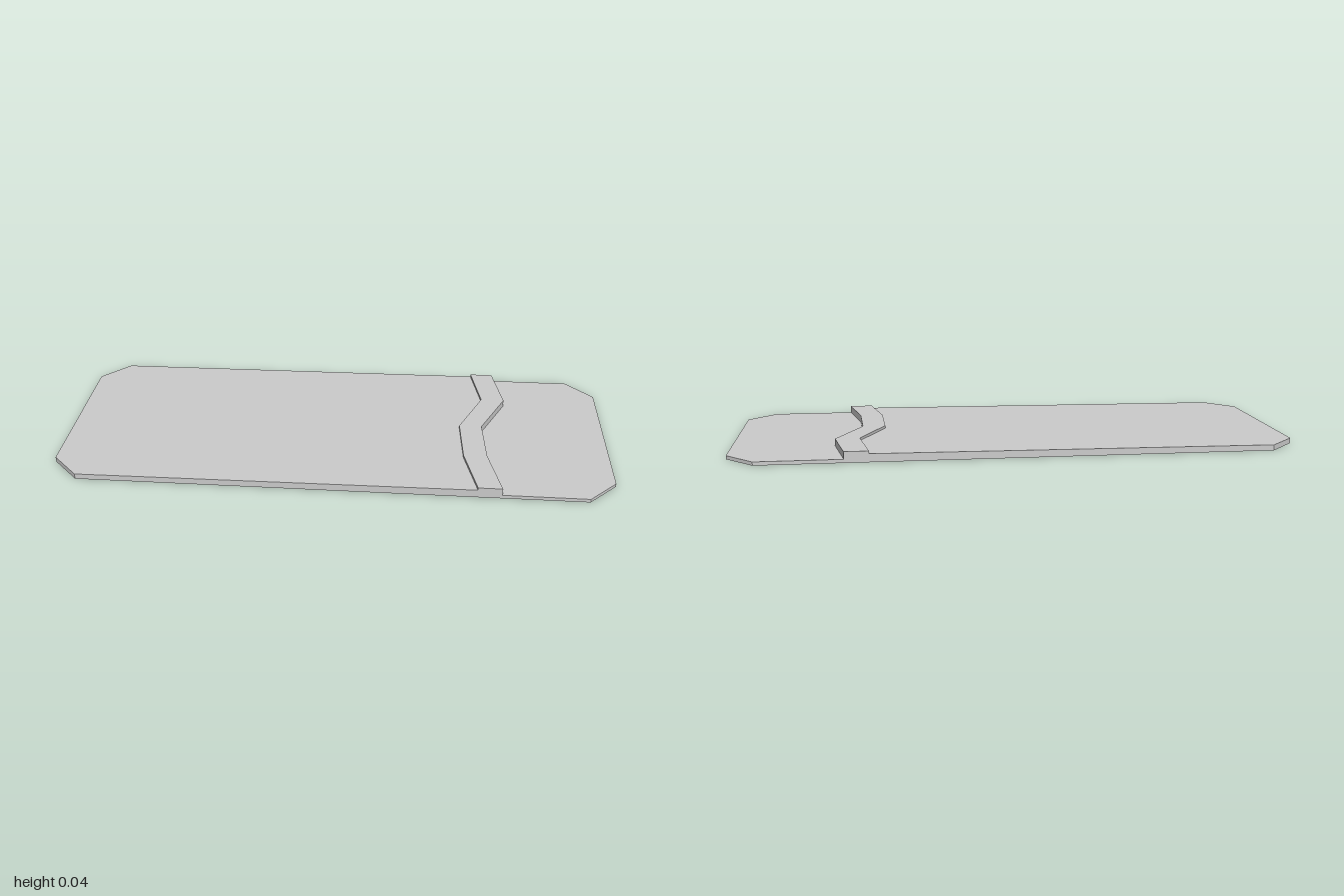
import * as THREE from 'three';

const material = new THREE.MeshStandardMaterial({ color: 0xcccccc, flatShading: true });

// Bent lines across the plate as [x, z], from back to front
const ridgeStart = [[0.515, -0.4], [0.55, -0.2], [0.46, 0], [0.47, 0.2], [0.515, 0.4]];
const ridgeEnd = [[0.6, -0.4], [0.637, -0.2], [0.543, 0], [0.555, 0.2], [0.6, 0.4]];

// Slab over a plan outline, with its top height given as a function of x
function slab(name, outline, topAt) {
  const shape = new THREE.Shape(outline.map(([x, z]) => new THREE.Vector2(x, -z)));
  const geometry = new THREE.ExtrudeGeometry(shape, { depth: 1, bevelEnabled: false });
  geometry.rotateX(-Math.PI / 2);
  const p = geometry.attributes.position;
  for (let i = 0; i < p.count; i++) {
    p.setY(i, p.getY(i) > 0.5 ? topAt(p.getX(i)) : 0);
  }
  geometry.computeVertexNormals();
  const mesh = new THREE.Mesh(geometry, material);
  mesh.name = name;
  return mesh;
}

// Chamfered end of the plate, on side s = -1 or 1
const endCorners = (s) => [[0.9 * s, 0.4], [s, 0.3], [s, -0.3], [0.9 * s, -0.4]];

export function createModel() {
  const group = new THREE.Group();
  group.name = 'steppedPlate';

  // Long deck, rising gently towards the ridge
  group.add(slab('slopedDeck', [...ridgeStart, ...endCorners(-1)], (x) => 0.0195 + 0.0066 * (x + 1)));

  // Raised zigzag ridge
  group.add(slab('ridge', [...ridgeStart, ...[...ridgeEnd].reverse()], () => 0.039));

  // Thin lower end plate
  group.add(slab('lowerPlate', [...ridgeEnd, ...endCorners(1)], () => 0.0128));

  return group;
}
